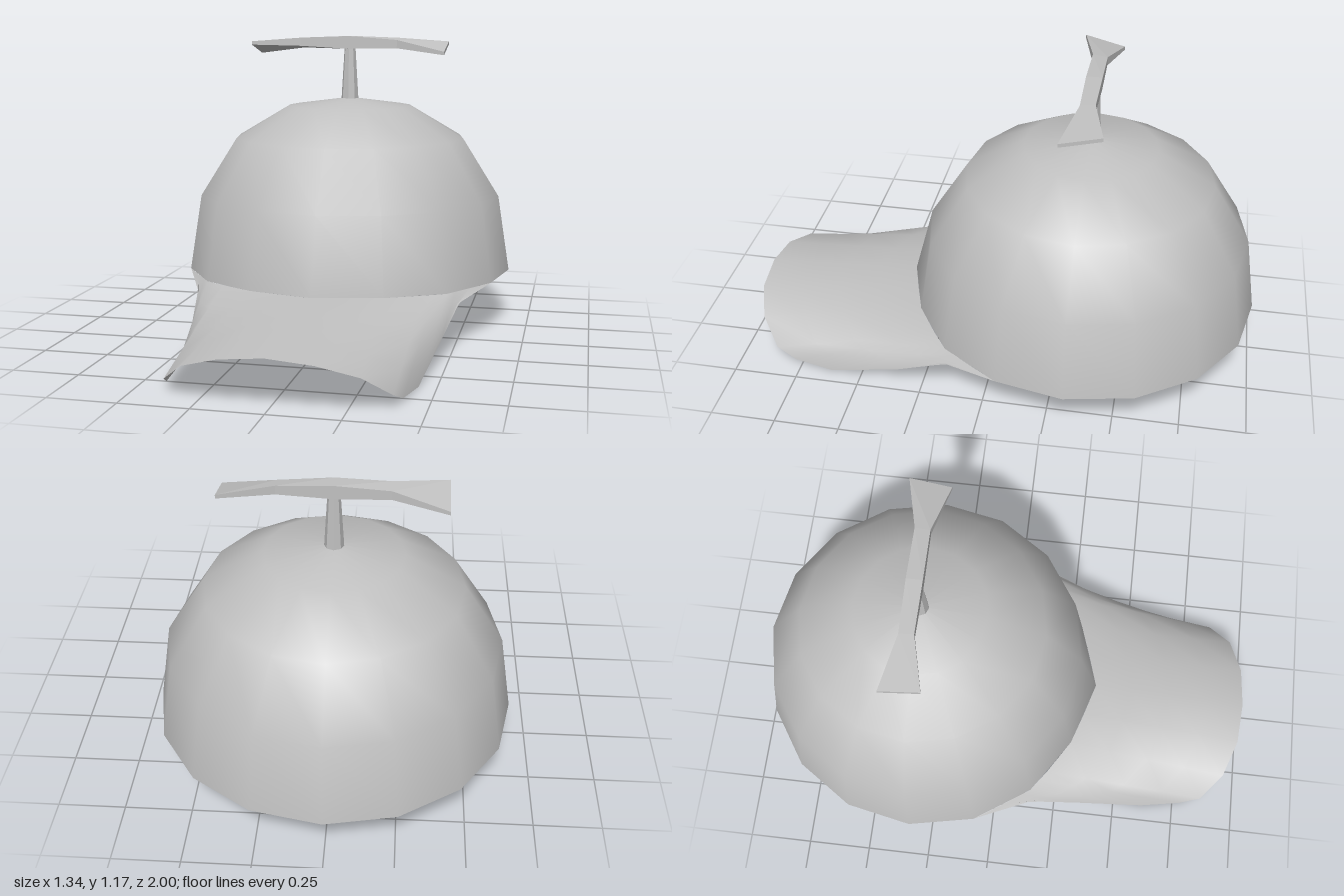
import * as THREE from 'three';

const CENTRE_Z = -0.327;

const fabric = new THREE.MeshStandardMaterial({ color: 0xc0c0c0, side: THREE.DoubleSide });
fabric.name = 'grey';
const hard = fabric.clone();
hard.flatShading = true;
hard.name = 'grey';

function part(name, geometry, material) {
  const mesh = new THREE.Mesh(geometry, material);
  mesh.name = name;
  return mesh;
}

// Open 16-sided dome whose rim lifts slightly at the front
function crownGeometry() {
  const profile = [[0.67, 0.217], [0.622, 0.522], [0.475, 0.755], [0.255, 0.885], [0, 0.92]];
  const geometry = new THREE.LatheGeometry(profile.map(p => new THREE.Vector2(...p)), 16);
  geometry.translate(0, 0, CENTRE_Z);
  const pos = geometry.attributes.position;
  for (let i = 0; i < pos.count; i++) {
    if (pos.getY(i) > 0.3) continue;
    const x = Math.abs(pos.getX(i));
    if (pos.getZ(i) > 0.2 && x < 0.3) pos.setY(i, x < 0.01 ? 0.23 : 0.224);
    if (x < 0.01 && pos.getZ(i) > 0) pos.setZ(i, 0.373);
  }
  return geometry;
}

// Arched brim: straight ribs from the crown rim to the outer edge, mirrored in x
function brimGeometry() {
  const rim = [[0, 0.23, 0.373], [0.13, 0.227, 0.334], [0.256, 0.224, 0.292], [0.39, 0.22, 0.207],
    [0.43, 0.218, 0.178], [0.474, 0.217, 0.147], [0.5, 0.217, 0.107], [0.55, 0.217, 0.035], [0.619, 0.217, -0.071]];
  const edge = [[0, 0.187, 0.998], [0.16, 0.17, 0.987], [0.3, 0.125, 0.94], [0.39, 0.05, 0.86],
    [0.41, 0.015, 0.78], [0.437, 0.004, 0.62], [0.475, 0.085, 0.34], [0.513, 0.18, 0.15], [0.619, 0.217, -0.071]];
  const half = rim.length - 1, rows = 4, positions = [], indices = [];
  for (let i = -half; i <= half; i++) {
    const k = Math.abs(i), side = Math.sign(i);
    for (let j = 0; j <= rows; j++) {
      const [x, y, z] = rim[k].map((v, n) => THREE.MathUtils.lerp(v, edge[k][n], j / rows));
      positions.push(x * side, y, z);
    }
  }
  for (let i = 0; i < half * 2; i++) {
    for (let j = 0; j < rows; j++) {
      const a = i * (rows + 1) + j, b = a + 1, d = a + rows + 1, c = d + 1;
      indices.push(a, b, d, b, c, d);
    }
  }
  const geometry = new THREE.BufferGeometry();
  geometry.setAttribute('position', new THREE.Float32BufferAttribute(positions, 3));
  geometry.setIndex(indices);
  geometry.computeVertexNormals();
  return geometry;
}

// Thin bar that widens, droops and twists in opposite directions towards its tips
function propellerGeometry() {
  const sections = [
    { y: 1.145, thick: 0.052, width: 0.06, tilt: 0 },
    { y: 1.143, thick: 0.034, width: 0.056, tilt: 0.004 },
    { y: 1.123, thick: 0.014, width: 0.154, tilt: 0.019 },
  ];
  const geometry = new THREE.BoxGeometry(0.8, 1, 1, 4, 1, 1);
  const pos = geometry.attributes.position;
  for (let i = 0; i < pos.count; i++) {
    const x = pos.getX(i), s = sections[Math.round(Math.abs(x) / 0.2)];
    const up = pos.getY(i), front = pos.getZ(i);
    pos.setY(i, s.y + up * s.thick - front * 2 * s.tilt * Math.sign(x));
    pos.setZ(i, CENTRE_Z + front * s.width);
  }
  geometry.computeVertexNormals();
  return geometry;
}

export function createModel() {
  const cap = new THREE.Group();
  cap.name = 'propellerCap';
  cap.add(part('crown', crownGeometry(), fabric));
  cap.add(part('brim', brimGeometry(), fabric));

  // Tapered post carrying the propeller
  const stem = part('stem', new THREE.CylinderGeometry(0.022, 0.036, 0.23, 8), hard);
  stem.position.set(0, 1.025, CENTRE_Z);
  cap.add(stem);

  cap.add(part('propeller', propellerGeometry(), hard));
  return cap;
}
